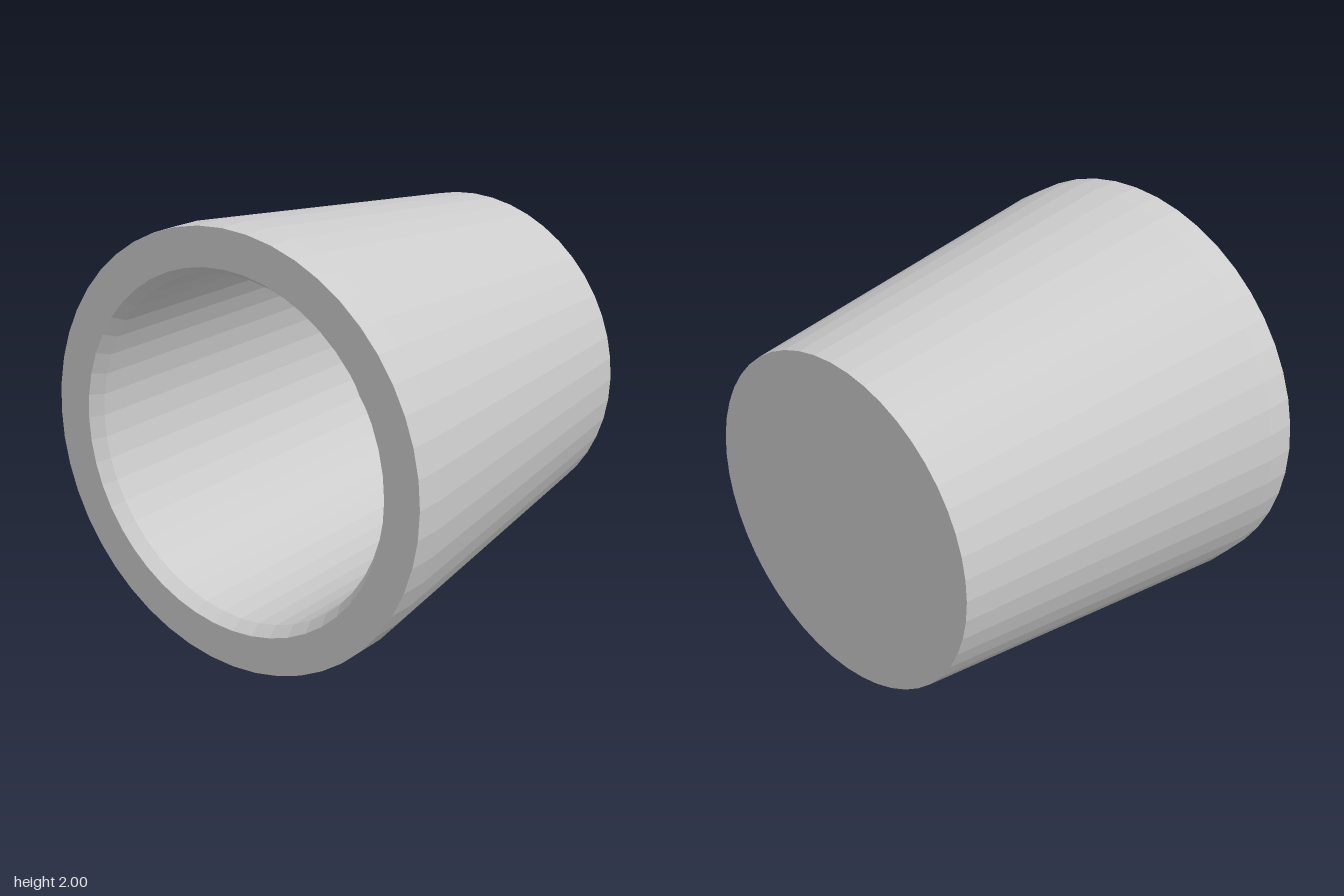
import * as THREE from 'three';

export function createModel() {
  const model = new THREE.Group();
  model.name = 'taperedCup';
  const material = new THREE.MeshStandardMaterial({ color: 0xcccccc, flatShading: true });

  // Each part is a turned [radius, z] profile, laid on its side to open towards +z
  const turn = (name, profile) => {
    const points = profile.map(([r, z]) => new THREE.Vector2(r, z));
    const geometry = new THREE.LatheGeometry(points, 48);
    geometry.rotateX(Math.PI / 2);
    const mesh = new THREE.Mesh(geometry, material);
    mesh.name = name;
    mesh.position.y = 1;
    model.add(mesh);
  };

  // Closed back and tapered outer wall
  turn('outerShell', [[0, -0.94], [0.8, -0.94], [1, 0.8]]);
  // Straight front band, flat rim and bevelled mouth
  turn('rim', [[1, 0.8], [1, 0.94], [0.825, 0.94], [0.787, 0.88]]);
  // Deep, nearly straight hollow with a flat floor
  turn('hollow', [[0.787, 0.88], [0.777, -0.9], [0, -0.9]]);

  return model;
}
